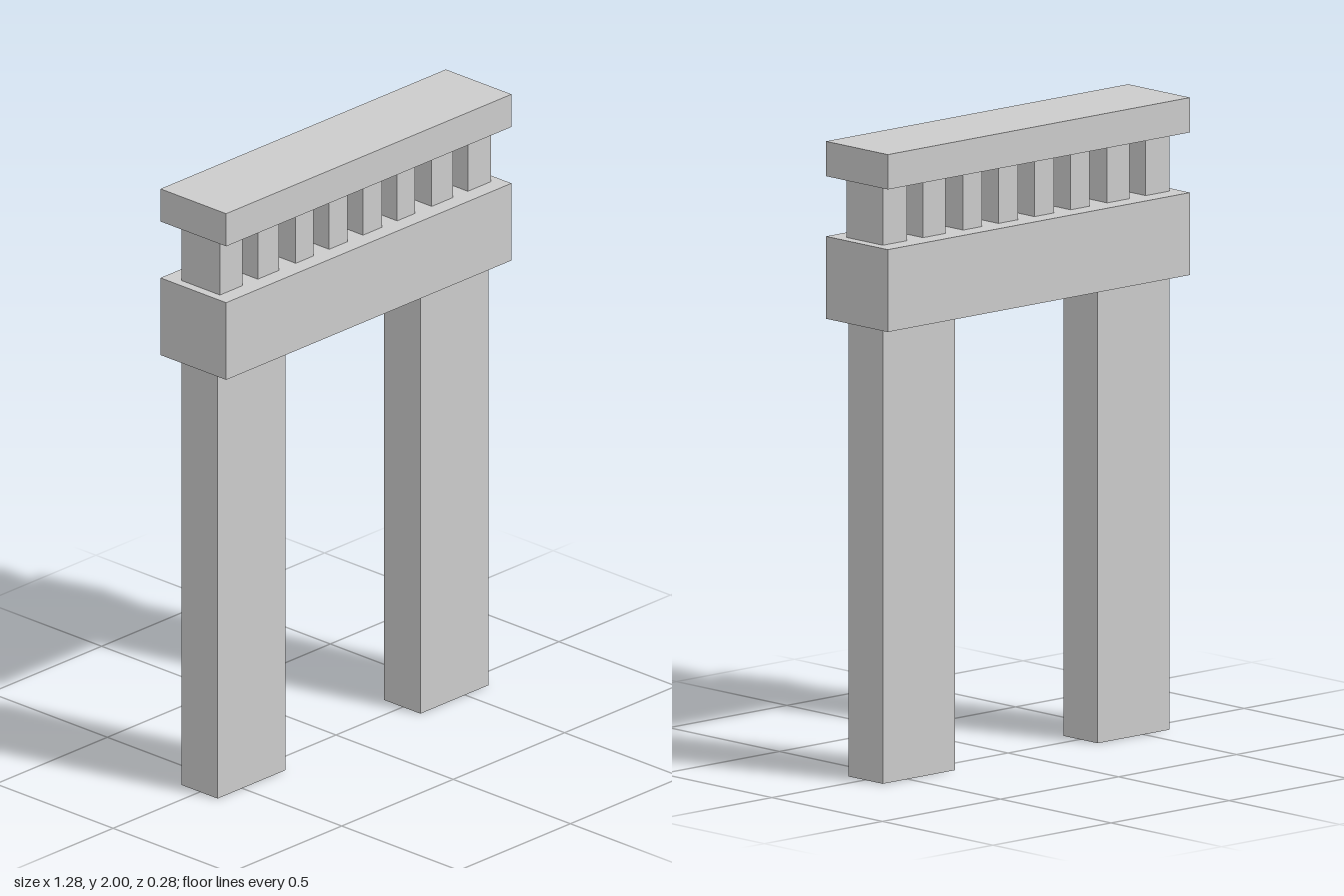
import * as THREE from 'three';

const material = new THREE.MeshStandardMaterial({ color: 0xcccccc, flatShading: true });

// Block given by its extents along each axis
function block(name, [x0, x1], [y0, y1], [z0, z1]) {
  const mesh = new THREE.Mesh(new THREE.BoxGeometry(x1 - x0, y1 - y0, z1 - z0), material);
  mesh.position.set((x0 + x1) / 2, (y0 + y1) / 2, (z0 + z1) / 2);
  mesh.name = name;
  return mesh;
}

export function createModel() {
  const gate = new THREE.Group();
  gate.name = 'gateway';

  // Two tall pillars
  gate.add(block('rightPillar', [-0.61, -0.305], [0, 1.44], [-0.08, 0.075]));
  gate.add(block('leftPillar', [0.3, 0.605], [0, 1.44], [-0.08, 0.075]));

  // Deep lintel and the thinner cap slab above it
  gate.add(block('lintel', [-0.64, 0.64], [1.44, 1.7], [-0.14, 0.14]));
  gate.add(block('capSlab', [-0.64, 0.64], [1.89, 2], [-0.14, 0.14]));

  // Row of short posts, narrowing toward the middle
  const posts = new THREE.Group();
  posts.name = 'balusters';
  const spans = [
    [-0.61, -0.508], [-0.44, -0.345], [-0.27, -0.19], [-0.12, -0.037],
    [0.032, 0.116], [0.185, 0.265], [0.34, 0.435], [0.502, 0.605],
  ];
  spans.forEach((span, i) => posts.add(block(`baluster${i + 1}`, span, [1.7, 1.89], [-0.08, 0.085])));
  gate.add(posts);

  return gate;
}
